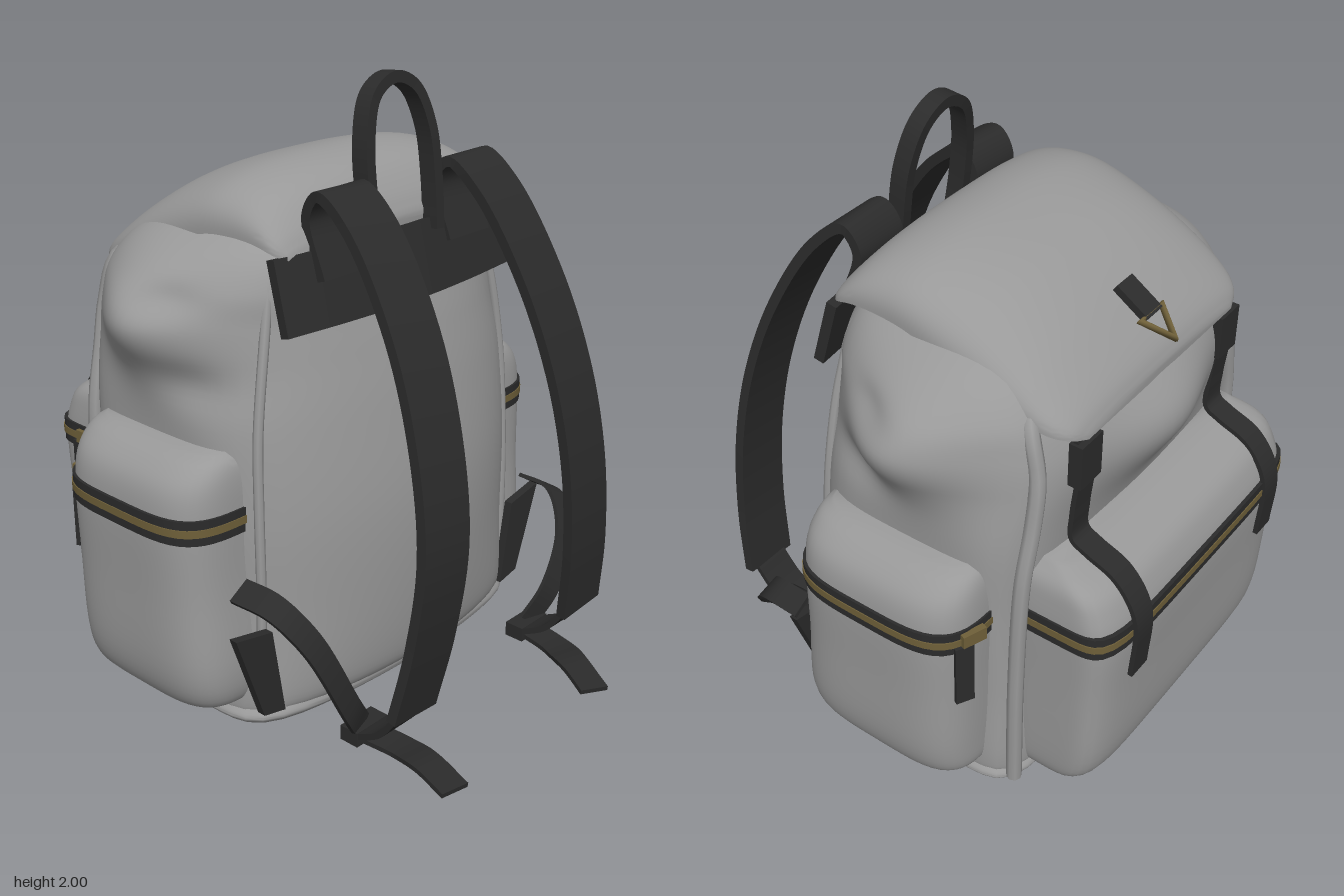
import * as THREE from 'three';
import { toCreasedNormals } from 'three/addons/utils/BufferGeometryUtils.js';

const mat = (name, color) => Object.assign(new THREE.MeshStandardMaterial({ color }), { name });
const V = (x, y, z) => new THREE.Vector3(x, y, z);

// Closed skin over rings of points that run counter-clockwise around the sweep direction
function skin(rings, crease = 0.8) {
  const n = rings[0].length, m = rings.length, pts = rings.flat(), idx = [];
  const mean = r => r.reduce((s, p) => s.add(p), V(0, 0, 0)).divideScalar(n);
  const first = pts.push(mean(rings[0])) - 1, last = pts.push(mean(rings[m - 1])) - 1;
  for (let j = 0; j < n; j++) {
    const k = (j + 1) % n, e = (m - 1) * n;
    for (let i = 0; i < m - 1; i++) {
      const a = i * n + j, b = i * n + k;
      idx.push(a, b, a + n, b, b + n, a + n);
    }
    idx.push(first, k, j, last, e + j, e + k);
  }
  const g = new THREE.BufferGeometry().setFromPoints(pts);
  g.setIndex(idx);
  return toCreasedNormals(g, crease);
}

// Smoothly resample rows of numbers
function resample(rows, steps) {
  const f = new THREE.CubicInterpolant(rows.map((_, i) => i), rows.flat(), rows[0].length);
  const count = (rows.length - 1) * steps;
  return Array.from({ length: count + 1 }, (_, i) => [...f.evaluate(i / steps)]);
}

// Rounded-rectangle sections [y, halfWidth, zFront, zBack, squareness, frontBulge] stacked upwards
function loft(rows, cx = 0, warp = null, steps = 5) {
  return skin(resample(rows, steps).map(([y, hw, zf, zb, n, bulge]) =>
    Array.from({ length: 80 }, (_, j) => {
      const a = j / 80 * Math.PI * 2, c = Math.cos(a), s = -Math.sin(a);
      const r = (Math.abs(c) ** n + Math.abs(s) ** n) ** (-1 / n);
      const z = (zf + zb) / 2 + (zf - zb) / 2 * r * s + (s > 0 ? bulge * (1 - (r * c) ** 2) : 0);
      const p = V(cx + hw * r * c, y, z);
      if (warp) warp(p);
      return p;
    })));
}

// Flat strap swept along a curve; side is the direction of its width
function strap(points, width, thick, side = V(1, 0, 0), segs = 40) {
  const curve = new THREE.CatmullRomCurve3(points);
  const rings = [];
  for (let i = 0; i <= segs; i++) {
    const p = curve.getPoint(i / segs), t = curve.getTangent(i / segs);
    const n = t.clone().cross(side).normalize(), s = n.clone().cross(t).normalize();
    rings.push([[1, 1], [-1, 1], [-1, -1], [1, -1]].map(([u, v]) =>
      p.clone().addScaledVector(s, u * width / 2).addScaledVector(n, v * thick / 2)));
  }
  return skin(rings);
}

export function createModel() {
  const root = new THREE.Group();
  root.name = 'backpack';
  const fabric = mat('grey fabric', 0x999999);
  const webbing = mat('black webbing', 0x2b2b2b);
  const brass = mat('brass', 0x6f6039);
  const add = (name, geo, material, parent = root) => {
    const m = new THREE.Mesh(geo, material);
    m.name = name;
    parent.add(m);
    return m;
  };
  const box = (name, size, pos, rotY, material) => {
    const m = add(name, new THREE.BoxGeometry(...size), material);
    m.position.set(...pos);
    m.rotation.y = rotY;
  };

  // Main bag: slack upper sides and back swell outwards, with soft creases
  const swell = p => {
    const g = (y, z, h, d) => Math.exp(-(((p.y - y) / h) ** 2) - ((p.z - z) / d) ** 2);
    p.x *= 1 + 0.36 * g(1.33, -0.2, 0.19, 0.24) - 0.07 * g(1.39, -0.1, 0.05, 0.1) - 0.04 * g(1.13, -0.02, 0.07, 0.12);
    if (p.z < -0.3) p.z -= 0.1 * Math.exp(-((p.x / 0.27) ** 2) - ((p.y - 1.2) / 0.17) ** 2);
  };
  add('bagBody', loft([
    [0.015, 0.58, 0.18, -0.50, 8, 0.05], [0.05, 0.64, 0.20, -0.56, 8, 0.08],
    [0.12, 0.655, 0.21, -0.575, 8, 0.13], [0.4, 0.65, 0.20, -0.575, 7, 0.17],
    [0.7, 0.66, 0.20, -0.575, 6, 0.17], [1.0, 0.66, 0.19, -0.60, 5, 0.14],
    [1.2, 0.60, 0.19, -0.62, 5, 0.10], [1.32, 0.57, 0.19, -0.61, 5, 0.07],
    [1.42, 0.555, 0.19, -0.57, 5, 0.05], [1.52, 0.51, 0.18, -0.50, 4, 0.02],
    [1.6, 0.41, 0.13, -0.38, 3, 0]], 0, swell, 8), fabric);
  add('basePiping', loft([[0.02, 0.64, 0.205, -0.56, 8, 0.07], [0.05, 0.665, 0.225, -0.582, 8, 0.08],
    [0.085, 0.645, 0.21, -0.565, 8, 0.1]]), fabric);

  // Top flap: arched sections [z, halfWidth, topY, edgeY]
  add('topFlap', skin(resample([
    [0.205, 0.47, 1.56, 1.52], [0.17, 0.50, 1.625, 1.54], [0.1, 0.51, 1.70, 1.56],
    [0, 0.515, 1.738, 1.565], [-0.12, 0.52, 1.738, 1.55], [-0.3, 0.52, 1.685, 1.48],
    [-0.45, 0.515, 1.595, 1.43], [-0.56, 0.50, 1.50, 1.39], [-0.62, 0.46, 1.435, 1.37],
    [-0.645, 0.40, 1.385, 1.35]], 4).map(([z, hw, top, edge]) =>
    Array.from({ length: 49 }, (_, j) => {
      const a = Math.PI * (1 - j / 48), c = Math.cos(a), s = Math.max(Math.sin(a), 0);
      const r = (Math.abs(c) ** 2.7 + s ** 2.7) ** (-1 / 2.7);
      return V(hw * r * c, edge + (top - edge) * r * s, z);
    }))), fabric);

  // Tab and triangular ring on the flap
  const tab = new THREE.Group();
  tab.name = 'flapTab';
  tab.position.set(0, 1.562, -0.54);
  tab.rotation.x = -0.58;
  root.add(tab);
  add('tabLoop', new THREE.BoxGeometry(0.08, 0.025, 0.13), webbing, tab);
  const ring = add('triangleRing', new THREE.TorusGeometry(0.066, 0.013, 8, 3), brass, tab);
  ring.rotation.set(Math.PI / 2, 0, -Math.PI / 2);
  ring.position.z = -0.09;

  // Pockets with zip bands
  const zip = (name, hw, zf, zb, n, cx) => {
    const band = (y0, y1, o) => loft([y0, y1].map(y => [y, hw + o, zf + o, zb - o, n, 0]), cx, null, 1);
    add(name + 'ZipTape', band(0.70, 0.78, 0.005), webbing);
    add(name + 'ZipTeeth', band(0.728, 0.753, 0.008), brass);
  };
  add('backPocket', loft([
    [0.05, 0.50, -0.45, -0.62, 6, 0], [0.09, 0.54, -0.45, -0.76, 6, 0], [0.2, 0.555, -0.45, -0.82, 6, 0],
    [0.5, 0.56, -0.45, -0.84, 6, 0], [0.72, 0.565, -0.45, -0.85, 6, 0], [0.83, 0.56, -0.45, -0.825, 6, 0],
    [0.9, 0.545, -0.45, -0.775, 6, 0], [0.95, 0.50, -0.45, -0.66, 6, 0]]), fabric);
  zip('backPocket', 0.566, -0.45, -0.85, 6, 0);
  box('backZipSlider', [0.02, 0.045, 0.08], [-0.575, 0.745, -0.66], 0, brass);
  box('backZipPull', [0.014, 0.13, 0.045], [-0.575, 0.66, -0.70], 0, webbing);

  for (const s of [1, -1]) {
    const side = s > 0 ? 'left' : 'right';
    add(side + 'SidePocket', loft([
      [0.1, 0.17, 0.10, -0.42, 4, 0], [0.13, 0.23, 0.15, -0.46, 4, 0], [0.25, 0.265, 0.17, -0.47, 4, 0],
      [0.5, 0.27, 0.155, -0.475, 4, 0], [0.72, 0.272, 0.15, -0.48, 4, 0], [0.85, 0.255, 0.145, -0.475, 4, 0],
      [0.92, 0.20, 0.13, -0.46, 4, 0], [0.95, 0.14, 0.10, -0.43, 4, 0]], 0.57 * s), fabric);
    zip(side + 'Pocket', 0.273, 0.15, -0.48, 4, 0.57 * s);
    box(side + 'ZipSlider', [0.08, 0.045, 0.022], [0.725 * s, 0.75, -0.486], s * 2.8, brass);
    box(side + 'ZipPull', [0.06, 0.23, 0.014], [0.755 * s, 0.61, -0.474], s * 2.65, webbing);

    // Seams along the bag corners, their upper ends tucked inside
    const seam = (name, pts, r) => add(name, new THREE.TubeGeometry(
      new THREE.CatmullRomCurve3(pts.map(([x, y, z]) => V(x * s, y, z))), 40, r, 8), fabric);
    seam(side + 'BackPiping', [[0.6, 0.05, -0.55], [0.605, 0.5, -0.555], [0.595, 0.9, -0.565],
      [0.555, 1.1, -0.57], [0.53, 1.25, -0.565], [0.505, 1.4, -0.52], [0.40, 1.47, -0.44]], 0.026);
    seam(side + 'FrontSeam', [[0.6, 0.08, 0.19], [0.595, 0.5, 0.195], [0.59, 0.75, 0.188],
      [0.575, 1.0, 0.175], [0.52, 1.3, 0.155], [0.46, 1.49, 0.12], [0.38, 1.55, 0.05]], 0.016);

    // Closing straps with buckles
    add(side + 'ClosingStrap', strap([[1.42, -0.585], [1.36, -0.62], [1.22, -0.632], [1.08, -0.62], [0.985, -0.622],
      [0.955, -0.67], [0.912, -0.768], [0.84, -0.830], [0.76, -0.857], [0.56, -0.85]].map(([y, z]) => V(0.39 * s, y, z)), 0.085, 0.016, V(1, 0, 0), 60), webbing);
    box(side + 'Buckle', [0.105, 0.15, 0.045], [0.39 * s, 1.27, -0.63], 0, webbing);

    // Shoulder straps: the right one bows out further
    const k = s > 0 ? 0 : 1;
    add(side + 'ShoulderStrap', strap([[0.285, 1.45, 0.25], [0.285, 1.63, 0.19], [0.29, 1.70, 0.24],
      [0.305, 1.62, 0.345 + 0.025 * k], [0.335, 1.35, 0.51 + 0.05 * k], [0.365, 1.05, 0.62 + 0.06 * k],
      [0.39, 0.75, 0.675 + 0.06 * k], [0.41, 0.45, 0.685 + 0.025 * k], [0.43, 0.2, 0.66]]
      .map(([x, y, z]) => V(x * s, y, z)), 0.195, 0.034, V(1, 0, 0), 60), webbing);
    add(side + 'StrapEnd', strap([V(0.43 * s, 0.22, 0.665), V(0.425 * s, 0.11, 0.58), V(0.42 * s, 0.05, 0.47)], 0.13, 0.02), webbing);
    box(side + 'Adjuster', [0.14, 0.05, 0.07], [0.42 * s, 0.05, 0.46], 0, webbing);
    const tailX = k ? -0.45 : 0.27;
    add(side + 'StrapTail', strap([V(0.42 * s, 0.04, 0.46), V(0.4 * s, 0.03, 0.6), V((0.4 * s + tailX) / 2, 0.045, 0.72),
      V(tailX, 0.025, 0.85)], 0.1, 0.016), webbing);
    const top = 0.44 + 0.12 * k;
    add(side + 'LowerStrap', strap([V(0.43 * s, 0.06, 0.46), V(0.51 * s, 0.17, 0.49), V(0.64 * s, top - 0.12, 0.45),
      V(0.70 * s, top - 0.01, 0.36), V(0.71 * s, top, 0.22)], 0.085, 0.014, V(0.8 * s, -0.5, 0.2)), webbing);

    // Triangular anchor patch
    const patch = new THREE.Shape([[0.55, 0.08], [0.64, 0.1], [0.75, 0.41], [0.6, 0.38]].map(([x, y]) => new THREE.Vector2(x * s, y)));
    add(side + 'AnchorPatch', new THREE.ExtrudeGeometry(patch, { depth: 0.03, bevelEnabled: false }), webbing).position.z = 0.215;
  }

  // Yoke panel and carry handle
  add('yoke', strap([V(-0.52, 1.42, 0.21), V(-0.26, 1.42, 0.238), V(0, 1.42, 0.25), V(0.26, 1.42, 0.238), V(0.52, 1.42, 0.21)],
    0.23, 0.035, V(0, 0.95, -0.27)), webbing);
  add('carryHandle', strap([V(-0.14, 1.5, 0.235), V(-0.15, 1.66, 0.215), V(-0.14, 1.82, 0.195), V(-0.09, 1.94, 0.175), V(0, 1.982, 0.17),
    V(0.09, 1.94, 0.175), V(0.14, 1.82, 0.195), V(0.15, 1.66, 0.215), V(0.14, 1.5, 0.235)], 0.06, 0.036, V(0, 0.1, 1), 60), webbing);

  // Strips under the base
  for (const x of [-0.45, 0, 0.45]) box('baseStrip', [0.1, 0.016, 0.52], [x, 0.008, -0.17], 0, webbing);
  return root;
}
